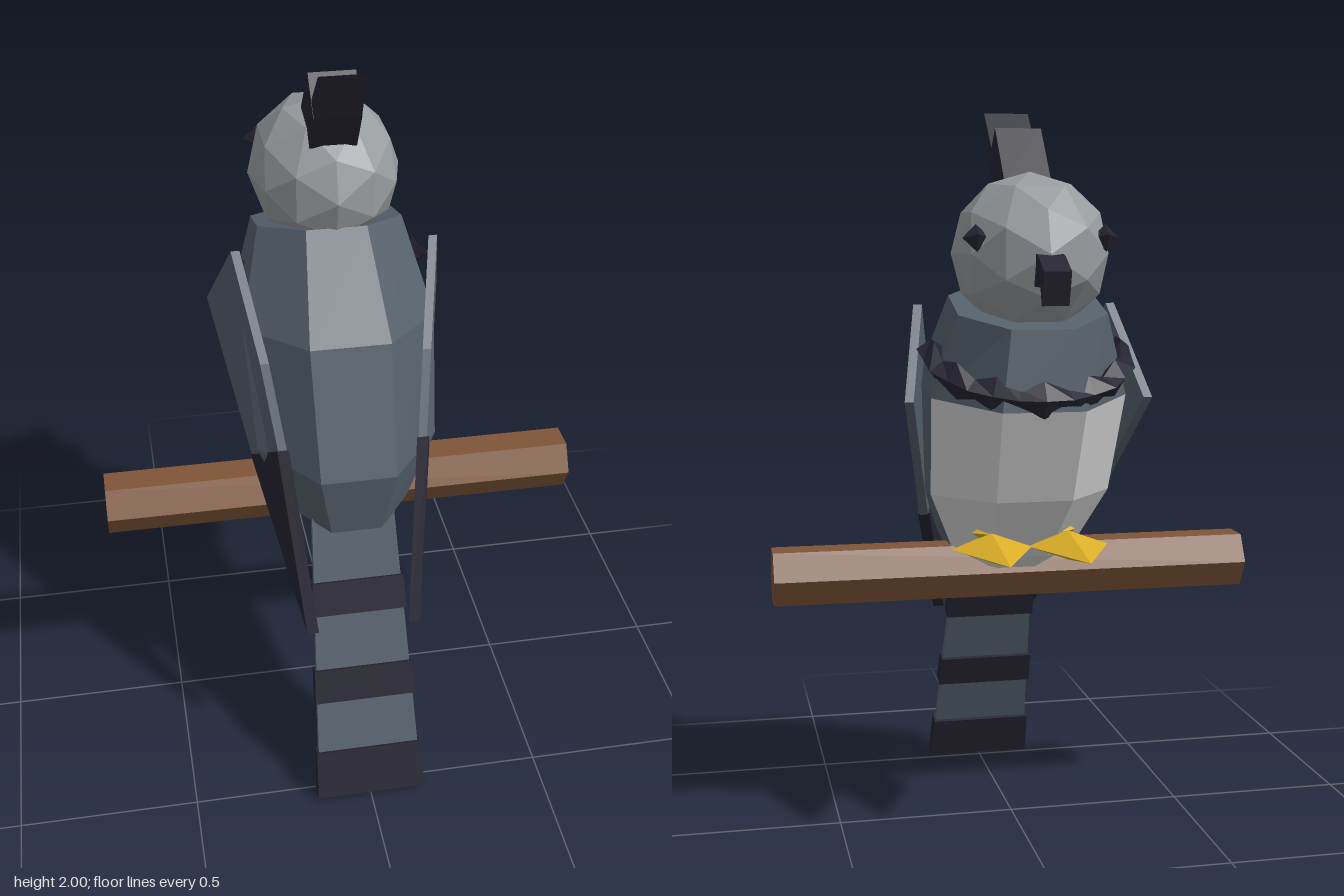
import * as THREE from 'three';

const mat = (name, color) => Object.assign(new THREE.MeshStandardMaterial({ color }), { name });
const V = (x, y, z) => new THREE.Vector3(x, y, z);

// Faceted skin through a list of rings; pick(i, j) chooses which faces to keep
function loft(rings, pick = () => true) {
  const out = [];
  const tri = (a, b, c) => {
    const area = b.clone().sub(a).cross(c.clone().sub(a)).length();
    if (area > 1e-7) for (const p of [a, b, c]) out.push(p.x, p.y, p.z);
  };
  for (let i = 0; i < rings.length - 1; i++) {
    const n = rings[i].length;
    for (let j = 0; j < n; j++) {
      if (!pick(i, j)) continue;
      const k = (j + 1) % n;
      tri(rings[i][j], rings[i][k], rings[i + 1][k]);
      tri(rings[i][j], rings[i + 1][k], rings[i + 1][j]);
    }
  }
  const g = new THREE.BufferGeometry();
  g.setAttribute('position', new THREE.Float32BufferAttribute(out, 3));
  g.computeVertexNormals();
  return g;
}

// Ring collapsed to its centre, used to close a loft
const centre = ring => {
  const c = V(0, 0, 0);
  ring.forEach(p => c.add(p));
  return Array(ring.length).fill(c.divideScalar(ring.length));
};
const closed = rings => loft([centre(rings[0]), ...rings, centre(rings[rings.length - 1])]);

// Side profile of [z, y] points, given a thickness across x and a rule for the x offset
function plate(points, thick, offset = () => 0) {
  const shape = new THREE.Shape(points.map(([z, y]) => new THREE.Vector2(-z, y)));
  const g = new THREE.ExtrudeGeometry(shape, { depth: thick, bevelEnabled: false });
  g.translate(0, 0, -thick / 2).rotateY(Math.PI / 2);
  const p = g.attributes.position;
  for (let i = 0; i < p.count; i++) p.setX(i, p.getX(i) + offset(p.getZ(i)));
  g.computeVertexNormals();
  return g;
}

export function createModel() {
  const model = new THREE.Group();
  model.name = 'perchedBird';
  const slate = mat('slate feathers', 0x54606b);
  const dark = mat('dark feathers', 0x252431);
  const grey = mat('grey head', 0x989c9f);
  const white = mat('white belly', 0xd8d8d8);
  const yellow = mat('yellow feet', 0xdcae28);
  const wood = mat('brown wood', 0x7e5538);
  const add = (name, geometry, material) => {
    const m = new THREE.Mesh(geometry, material);
    m.name = name;
    model.add(m);
    return m;
  };

  // Body: eight-sided rings [back z, back y, front z, front y, half width], the bird faces -z
  const rings = [
    [-0.02, 1.54, -0.40, 1.43, 0.20],
    [0.20, 1.30, -0.42, 1.22, 0.265],
    [0.33, 0.96, -0.31, 0.97, 0.25],
    [0.30, 0.77, -0.155, 0.79, 0.17],
    [0.165, 0.675, 0.0, 0.70, 0.09],
  ].map(([bz, by, fz, fy, w]) => Array.from({ length: 8 }, (_, j) => {
    const a = (j - 0.5) * Math.PI / 4, k = 1 / Math.cos(Math.PI / 8);
    const t = (1 + Math.cos(a) * k) / 2;
    return V(w * k * Math.sin(a), by + (fy - by) * t, bz + (fz - bz) * t);
  }));
  const skin = [centre(rings[0]), ...rings, centre(rings[4])];
  const isBelly = (i, j) => i >= 2 && i <= 4 && (j <= 1 || j === 7);
  add('body', loft(skin, (i, j) => !isBelly(i, j)), slate);
  add('belly', loft(skin, isBelly), white);

  // Head
  const head = new THREE.IcosahedronGeometry(1, 1);
  head.scale(0.21, 0.21, 0.247).translate(0, 1.62, -0.235);
  head.computeVertexNormals();
  add('head', head, grey);

  // Crest and hooked beak
  add('crest', plate([[-0.21, 1.81], [-0.09, 1.95], [0, 1.86], [-0.07, 1.75], [-0.17, 1.74]], 0.126), dark);
  add('crestTip', plate([[0.07, 2.0], [-0.035, 1.9], [-0.07, 1.75], [0, 1.86]], 0.124), dark);
  add('beak', plate([[-0.45, 1.625], [-0.49, 1.615], [-0.555, 1.58], [-0.53, 1.495],
    [-0.515, 1.54], [-0.45, 1.54]], 0.07), dark);

  // Jagged breast band
  const band = [];
  for (let i = 0; i <= 14; i++) {
    const t = (i / 14 - 0.5) * 3.4, r = i % 2 ? 0.048 : 0.026;
    const c = V(0.255 * Math.sin(t), 1.355 - 0.105 * Math.cos(t), -0.2 - 0.215 * Math.cos(t));
    band.push([0, 1, 2, 3].map(j => {
      const a = j * Math.PI / 2;
      const out = Math.cos(a) * (i % 2 ? 0.03 : 0.04);
      return V(c.x + out * Math.sin(t), c.y + r * Math.sin(a), c.z - out * Math.cos(t));
    }));
  }
  add('breastBand', closed(band), dark);

  // Tail: a thin tapered blade with three thicker bars
  const tailPiece = (top, bottom, thick, extra) => closed([top, bottom].map(y => {
    const w = 0.153 - 0.043 * y + extra, z = 0.545 - 0.4 * y;
    return [[-1, -1], [1, -1], [1, 1], [-1, 1]].map(([sx, sn]) =>
      V(sx * w, y + sn * thick * 0.185, z + sn * thick * 0.465));
  }));
  add('tail', tailPiece(0.82, 0.04, 0.024, -0.003), slate);
  [[0.605, 0.515], [0.365, 0.275], [0.135, 0.009]].forEach(([a, b]) =>
    add('tailBar', tailPiece(a, b, 0.046, 0.003), dark));

  for (const s of [1, -1]) {
    const side = s > 0 ? 'left' : 'right';

    // Wing and its dark tip, angled in towards the tail
    const lean = z => s * (0.257 - 0.27 * z);
    add(side + 'Wing', plate([[-0.05, 1.48], [-0.25, 1.235], [0.05, 0.88], [0.24, 1.01], [0.13, 1.23]],
      0.024, lean), slate);
    add(side + 'WingTip', plate([[0.24, 1.02], [0.05, 0.885], [0.42, 0.52]], 0.032, lean), dark);

    // Eye
    const eye = new THREE.OctahedronGeometry(0.036);
    eye.rotateX(0.25).translate(s * 0.168, 1.66, -0.375);
    add(side + 'Eye', eye, dark);

    // Foot: a flattened kite with a small rear toe
    const kite = (x, y, tip, mid, rear, w, h) => loft([
      Array(4).fill(V(x, y, tip)),
      [V(x + w, y, mid), V(x, y + h, mid), V(x - w, y, mid), V(x, y - h, mid)],
      Array(4).fill(V(x, y, rear)),
    ]);
    add(side + 'Foot', kite(s * 0.105, 0.838, -0.495, -0.25, -0.09, 0.11, 0.04), yellow);
    add(side + 'RearToe', kite(s * 0.105, 0.865, -0.2, -0.17, -0.08, 0.04, 0.028), yellow);
  }

  // Perch: six-sided rod along x
  let rod = new THREE.CylinderGeometry(0.086, 0.086, 1.352, 6);
  rod = rod.rotateZ(Math.PI / 2).toNonIndexed();
  rod.computeVertexNormals();
  rod.translate(0, 0.73, 0.002);
  add('perch', rod, wood);

  return model;
}
